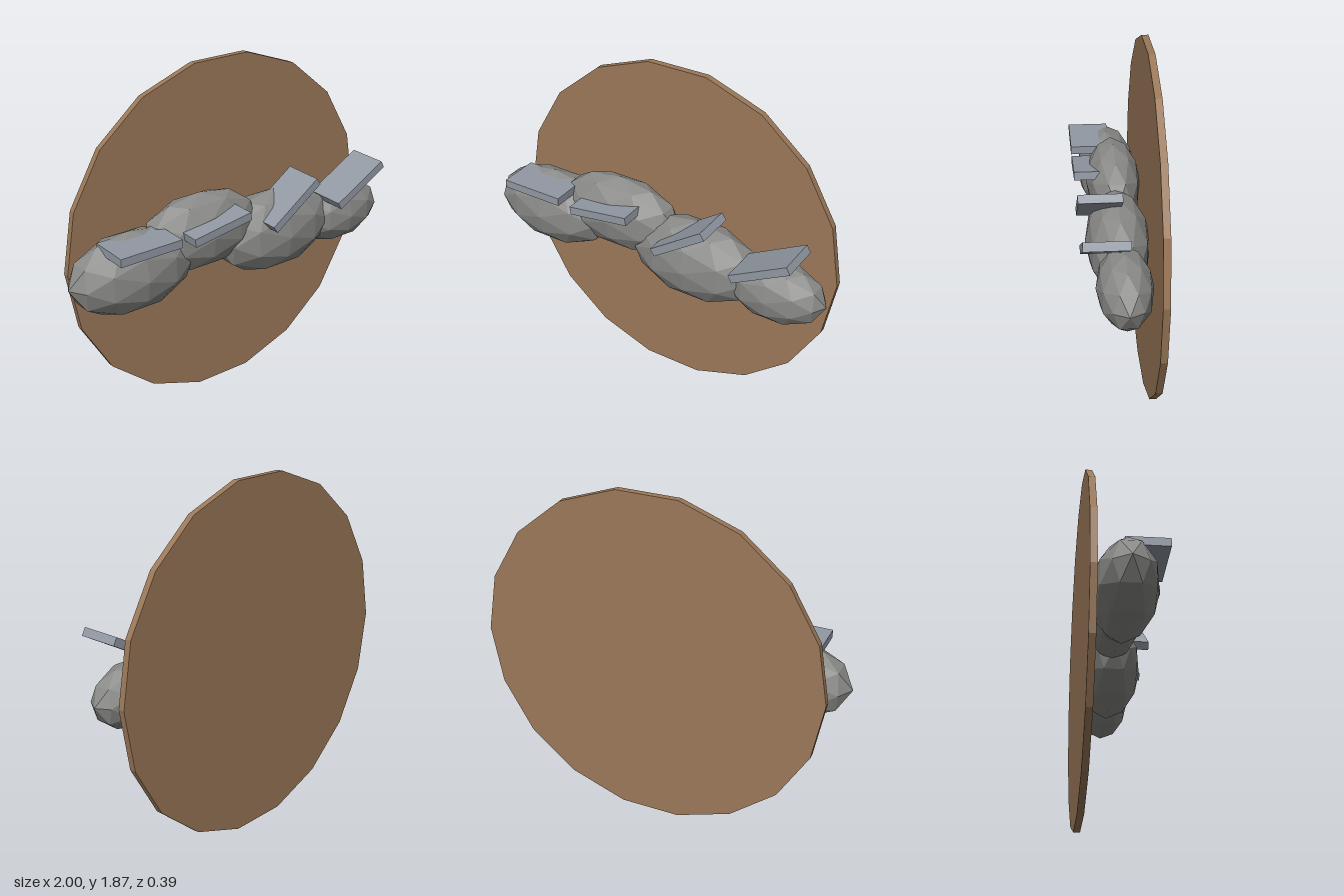
import * as THREE from 'three';

export function createModel() {
  const model = new THREE.Group();
  const material = (color) => new THREE.MeshStandardMaterial({ color, flatShading: true });
  const wood = material(0x9b7859);
  const stone = material(0x8a8a88);
  const slate = material(0x9299a3);

  const add = (name, geometry, mat, x, y, z) => {
    const mesh = new THREE.Mesh(geometry, mat);
    mesh.name = name;
    mesh.position.set(x, y, z);
    model.add(mesh);
    return mesh;
  };

  // Upright 18-sided backing disc, with corners on the horizontal axis
  const disc = new THREE.CylinderGeometry(0.95, 0.95, 0.035, 18);
  disc.rotateY(Math.PI / 2).rotateX(Math.PI / 2);
  add('backingDisc', disc, wood, 0.032, 0.936, -0.177);

  // Row of faceted boulders: centre x, y, z and radii x, y, z
  const boulders = [
    [-0.64, 0.943, -0.01, 0.36, 0.218, 0.165],
    [-0.215, 1.04, -0.022, 0.36, 0.21, 0.145],
    [0.26, 0.92, -0.01, 0.38, 0.23, 0.165],
    [0.718, 0.905, -0.01, 0.28, 0.175, 0.138],
  ];
  boulders.forEach(([x, y, z, rx, ry, rz], i) => {
    const rock = new THREE.IcosahedronGeometry(1, 1).scale(rx, ry, rz);
    add(`boulder${i + 1}`, rock, stone, x, y, z);
  });

  // Thin ledges jutting forward: centre x, y and tilt in degrees
  const ledges = [
    [-0.645, 1.118, 0],
    [-0.22, 1.12, 8.5],
    [0.258, 1.12, 35],
    [0.715, 1.117, 29],
  ];
  ledges.forEach(([x, y, tilt], i) => {
    const ledge = add(`ledge${i + 1}`, new THREE.BoxGeometry(0.35, 0.044, 0.22), slate, x, y, 0.083);
    ledge.rotation.z = THREE.MathUtils.degToRad(tilt);
  });

  return model;
}
